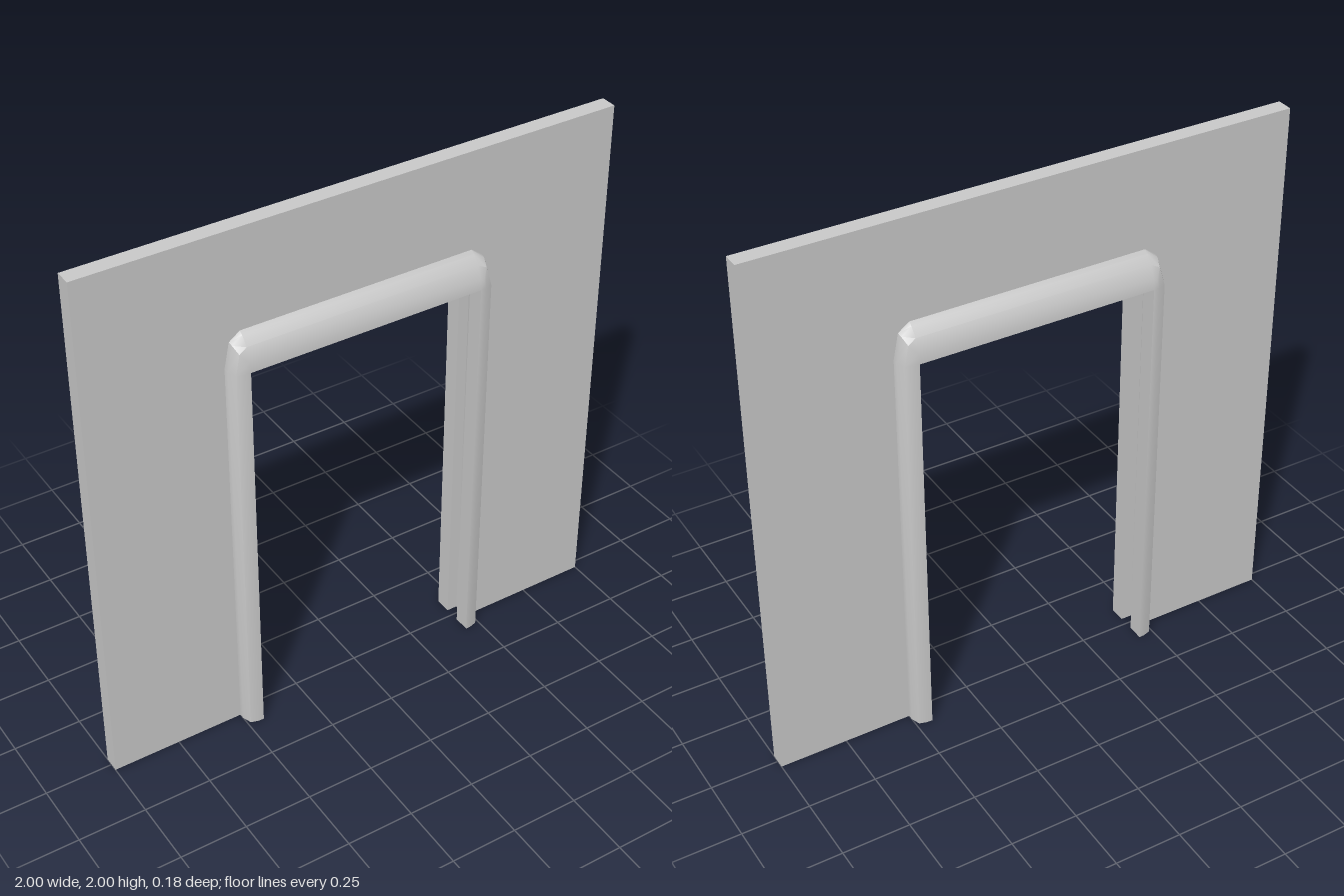
import * as THREE from 'three';
import { toCreasedNormals } from 'three/addons/utils/BufferGeometryUtils.js';

const HALF = 0.44;     // half width of the opening
const HEAD = 1.505;    // height of the opening
const GROOVE = 0.67;   // groove depth as a share of the trim width

// Half sections from inner edge to outer edge: [share of trim width, z]
const JAMB = [[0, 0.092], [0.35, 0.091], [0.8, 0.083], [1, 0.05], [1, 0.03]];
const LINTEL = [[0, 0.092], [0.3, 0.088], [0.68, 0.07], [0.92, 0.045], [1, 0.03]];

// Closed section, blended between jamb and lintel, with a central groove inside
function section(blend) {
  const half = JAMB.map(([t, z], i) => [
    THREE.MathUtils.lerp(t, LINTEL[i][0], blend),
    THREE.MathUtils.lerp(z, LINTEL[i][1], blend),
  ]);
  const back = half.map(([t, z]) => [t, -z]).reverse();
  return [...half, ...back, [0, -0.03], [GROOVE, -0.03], [GROOVE, 0.03], [0, 0.03]];
}

// Trim swept up one jamb, over the lintel and down the other jamb
function trimGeometry() {
  // pivot y, outward direction, blend
  const side = [
    [0, 0.06, 0, 0],
    [HEAD, 0.06, 0, 0],
    [HEAD, 0.041, 0.095, 0.5],
    [HEAD, 0, 0.125, 1],
  ];
  const ring = (s, [py, dx, dy, blend]) =>
    section(blend).map(([t, z]) => [s * (HALF + dx * t), py + dy * t, z]);
  const rings = [
    ...side.map((r) => ring(1, r)),
    ...side.slice().reverse().map((r) => ring(-1, r)),
  ];
  const n = rings[0].length;
  const index = [];
  for (let i = 0; i < rings.length - 1; i++) {
    for (let j = 0; j < n; j++) {
      const k = (j + 1) % n;
      const a = i * n + j, b = i * n + k, c = b + n, d = a + n;
      index.push(a, b, c, a, c, d);
    }
  }
  // feet of the jambs
  const contour = rings[0].map(([x, , z]) => new THREE.Vector2(x, -z));
  const last = (rings.length - 1) * n;
  for (const [a, b, c] of THREE.ShapeUtils.triangulateShape(contour, [])) {
    index.push(a, c, b, last + a, last + b, last + c);
  }
  const geometry = new THREE.BufferGeometry();
  geometry.setAttribute('position', new THREE.Float32BufferAttribute(rings.flat(2), 3));
  geometry.setIndex(index);
  return toCreasedNormals(geometry, 0.5);
}

// Flat wall panel with a doorway notch whose edge sits inside the trim
function wallGeometry() {
  const x = HALF + 0.05, y = HEAD + 0.1, c = 0.025;
  const outline = [
    [-1, 0], [-x, 0], [-x, y - c * 2], [-x + c, y], [x - c, y], [x, y - c * 2],
    [x, 0], [1, 0], [1, 2], [-1, 2],
  ];
  const shape = new THREE.Shape(outline.map(([px, py]) => new THREE.Vector2(px, py)));
  return new THREE.ExtrudeGeometry(shape, { depth: 0.06, bevelEnabled: false })
    .translate(0, 0, -0.03);
}

export function createModel() {
  const group = new THREE.Group();
  group.name = 'doorwayWall';
  const material = new THREE.MeshStandardMaterial({ color: 0xcccccc });
  const add = (name, geometry) => {
    const mesh = new THREE.Mesh(geometry, material);
    mesh.name = name;
    group.add(mesh);
  };
  add('wallPanel', wallGeometry());
  add('doorTrim', trimGeometry());
  return group;
}
